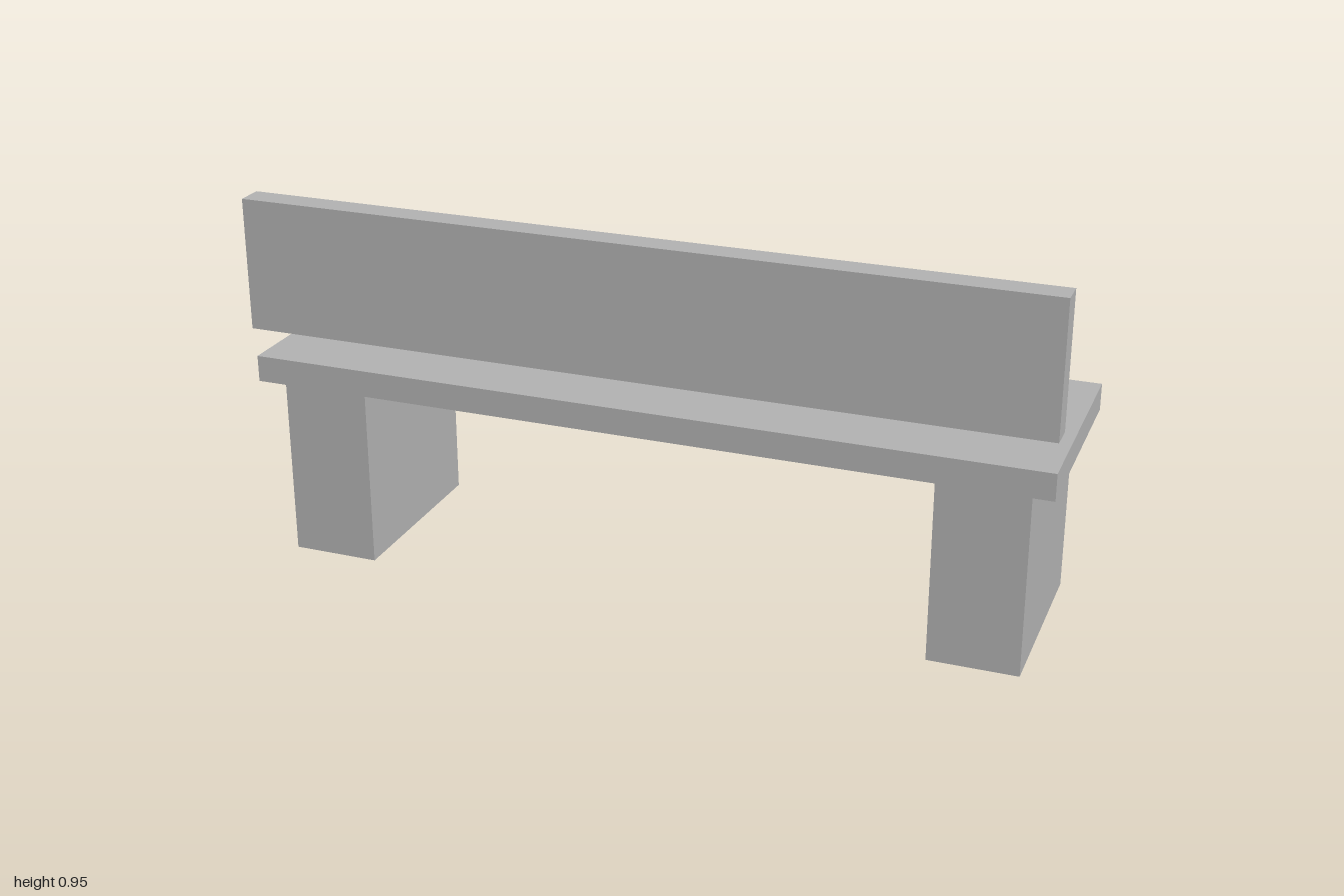
import * as THREE from 'three';

export function createModel() {
  const bench = new THREE.Group();
  bench.name = 'bench';
  const grey = new THREE.MeshStandardMaterial({ color: 0xb2b2b2 });
  grey.name = 'grey';

  // Box given by its extents along each axis
  function block(name, [x0, x1], [y0, y1], [z0, z1]) {
    const mesh = new THREE.Mesh(new THREE.BoxGeometry(x1 - x0, y1 - y0, z1 - z0), grey);
    mesh.position.set((x0 + x1) / 2, (y0 + y1) / 2, (z0 + z1) / 2);
    mesh.name = name;
    bench.add(mesh);
  }

  // Seat slab and the separate back board floating above its edge
  block('seat', [-1, 1], [0.468, 0.535], [-0.284, 0.272]);
  block('backrest', [-1, 1], [0.613, 0.946], [0.217, 0.284]);

  // Solid block legs
  block('leftLeg', [0.722, 0.944], [0, 0.468], [-0.249, 0.24]);
  block('rightLeg', [-0.944, -0.722], [0, 0.468], [-0.249, 0.24]);

  return bench;
}
